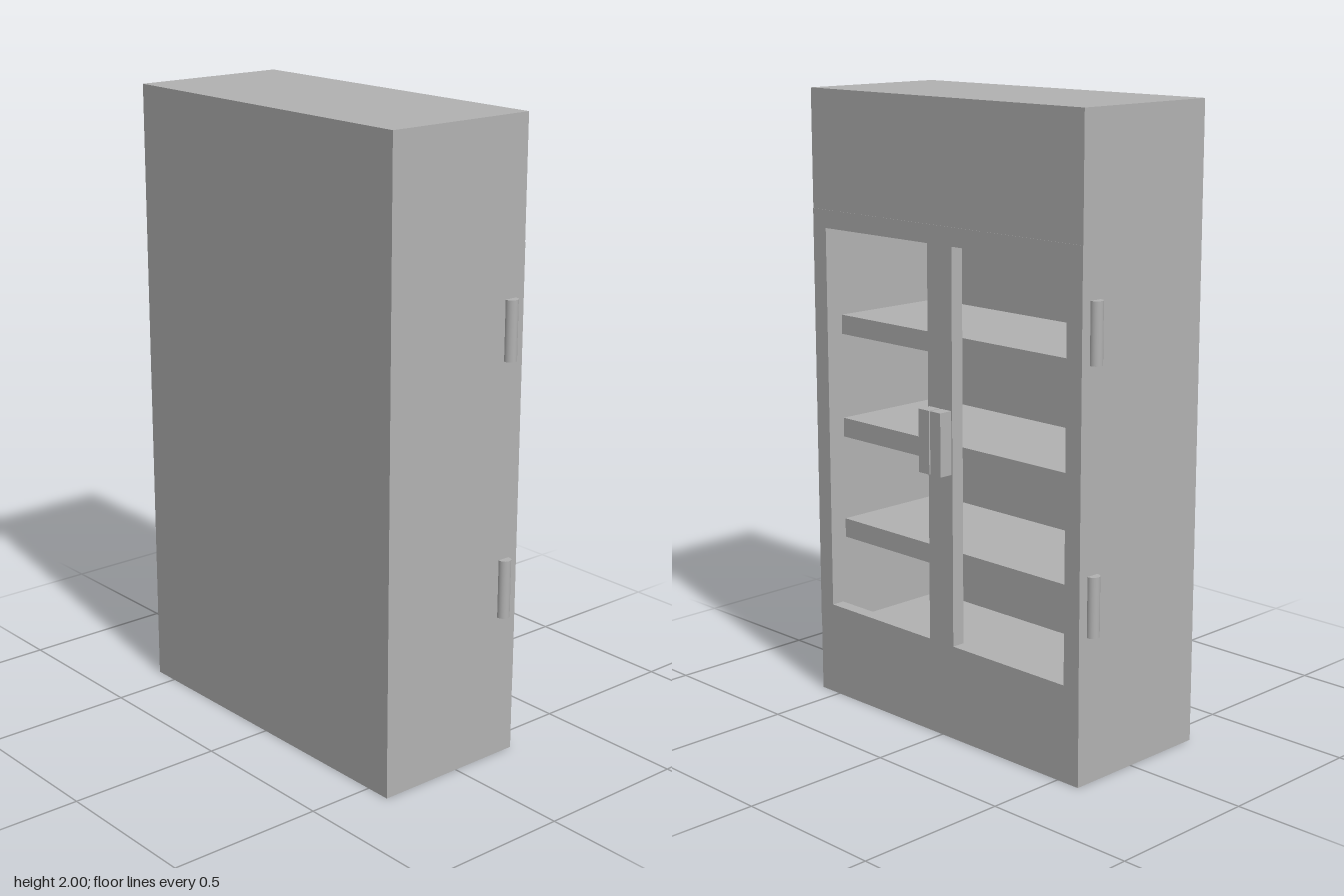
import * as THREE from 'three';

const grey = new THREE.MeshStandardMaterial({ color: 0xb3b3b3 });
grey.name = 'cabinet grey';

// Box given by its limits on each axis
function box(name, x0, x1, y0, y1, z0, z1) {
  const mesh = new THREE.Mesh(new THREE.BoxGeometry(x1 - x0, y1 - y0, z1 - z0), grey);
  mesh.position.set((x0 + x1) / 2, (y0 + y1) / 2, (z0 + z1) / 2);
  mesh.name = name;
  return mesh;
}

// Rectangular door frame with an open window
function doorFrame(x0, x1, y0, y1, hx0, hx1, hy0, hy1, thickness) {
  const rect = (C, a, b, c, d) => {
    const p = new C();
    p.moveTo(a, c).lineTo(b, c).lineTo(b, d).lineTo(a, d).closePath();
    return p;
  };
  const shape = rect(THREE.Shape, x0, x1, y0, y1);
  shape.holes.push(rect(THREE.Path, hx0, hx1, hy0, hy1));
  return new THREE.ExtrudeGeometry(shape, { depth: thickness, bevelEnabled: false });
}

export function createModel() {
  const model = new THREE.Group();
  model.name = 'cabinet';

  const W = 0.583, back = -0.236, front = 0.283;
  const wall = 0.055, floorY = 0.237, ceilingY = 1.62;
  const doorT = 0.043, carcass = back + doorT;
  const inner = W - wall, panel = front - 0.045;

  // Carcass: solid plinth and header, side walls and closed panel
  model.add(
    box('base', -W, W, 0, floorY, back, front),
    box('header', -W, W, ceilingY, 2, back, front),
    box('closedPanel', -W, W, floorY, ceilingY, panel, front),
    box('leftWall', inner, W, floorY, ceilingY, carcass, panel),
    box('rightWall', -W, -inner, floorY, ceilingY, carcass, panel)
  );

  // Three shelves
  for (const top of [0.59, 0.932, 1.274]) {
    model.add(box('shelf', -inner, inner, top - 0.063, top, -0.172, panel));
  }

  for (const s of [-1, 1]) {
    const side = s > 0 ? 'left' : 'right';

    // Doors, a hair proud of the carcass
    const [a, b] = s > 0 ? [0, W] : [-W, 0];
    const [ha, hb] = s > 0 ? [0.053, 0.523] : [-0.523, -0.053];
    const door = new THREE.Mesh(
      doorFrame(a, b, floorY, ceilingY, ha, hb, 0.307, 1.562, doorT + 0.001), grey);
    door.position.z = back - 0.001;
    door.name = side + 'Door';
    model.add(door);

    // Block handles, side by side
    const [h0, h1] = s > 0 ? [0.001, 0.047] : [-0.049, -0.004];
    model.add(box(side + 'Handle', h0, h1, 0.86, 1.06, -0.283, back));

    // Barrel hinges
    for (const y of [0.555, 1.367]) {
      const hinge = new THREE.Mesh(new THREE.CylinderGeometry(0.021, 0.021, 0.187, 20), grey);
      hinge.position.set(s * 0.587, y, -0.183);
      hinge.name = side + 'Hinge';
      model.add(hinge);
    }
  }
  return model;
}
